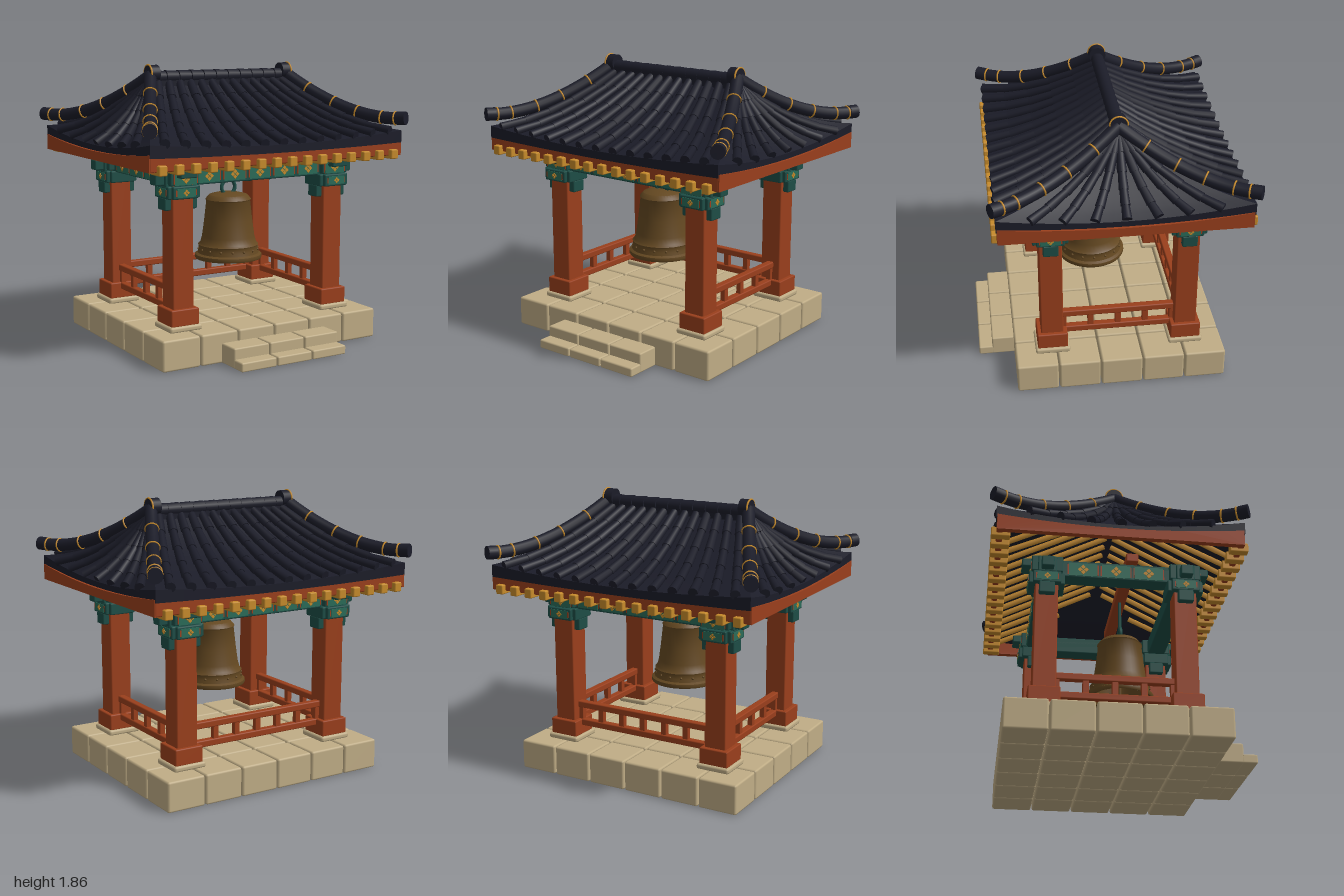
import * as THREE from 'three';
import { toCreasedNormals } from 'three/addons/utils/BufferGeometryUtils.js';
import { RoundedBoxGeometry } from 'three/addons/geometries/RoundedBoxGeometry.js';

const CZ = -0.053;               // pavilion centre in z
const PX = 0.575, PZ = 0.445;    // pillar offsets from the centre
const RX = 0.53, EX = 0.94, EZ = 0.787; // ridge half length, eave half sizes

const mat = (name, color, extra = {}) => {
  const m = new THREE.MeshStandardMaterial({ color, ...extra });
  m.name = name;
  return m;
};

export function createModel() {
  const stone = mat('stone', 0xc0ad86), red = mat('redWood', 0x9a3f1c);
  const green = mat('darkGreen', 0x1d4d46), panelGreen = mat('panelGreen', 0x2a6b58);
  const gold = mat('gold', 0xc78b2b);
  const tile = mat('roofTile', 0x1b1c28, { side: THREE.DoubleSide });
  const bronze = mat('bronze', 0x644821, { side: THREE.DoubleSide });

  const model = new THREE.Group();
  model.name = 'bellPavilion';
  const add = (name, geo, material, parent = model) => {
    const m = new THREE.Mesh(geo, material);
    m.name = name;
    parent.add(m);
    return m;
  };
  // Softly bevelled box given by its min and max corners
  const box = (name, material, x0, x1, y0, y1, z0, z1, r = 0.008) => {
    const m = add(name, new RoundedBoxGeometry(x1 - x0, y1 - y0, z1 - z0, 1, r), material);
    m.position.set((x0 + x1) / 2, (y0 + y1) / 2, (z0 + z1) / 2);
    return m;
  };
  // Tapered cylinder running from a to b
  const rod = (name, material, a, b, ra, rb, sides = 10) => {
    const d = b.clone().sub(a);
    const m = add(name, new THREE.CylinderGeometry(rb, ra, d.length(), sides), material);
    m.position.copy(a).addScaledVector(d, 0.5);
    m.quaternion.setFromUnitVectors(new THREE.Vector3(0, 1, 0), d.normalize());
    return m;
  };
  const V = (x, y, z) => new THREE.Vector3(x, y, z);

  // Paved base
  const tw = 1.64 / 6, td = 1.396 / 5, g = 0.004;
  for (let i = 0; i < 6; i++) for (let j = 0; j < 5; j++) {
    const x = -0.82 + i * tw, z = CZ - 0.698 + j * td;
    box('baseStone', stone, x + g, x + tw - g, 0, 0.2, z + g, z + td - g, 0.014);
  }
  // Front steps
  for (let i = 0; i < 3; i++) {
    const x = -0.4 + i * 0.267;
    box('upperStep', stone, x + g, x + 0.263, 0, 0.13, 0.63, 0.79, 0.01);
    box('lowerStep', stone, x + g, x + 0.263, 0, 0.06, 0.78, 0.88, 0.01);
  }

  // Painted panel with a four petal flower, facing +z
  const panel = (x, y, z, turn, w, h) => {
    const p = new THREE.Group();
    p.name = 'paintedPanel';
    p.position.set(x, y, z);
    p.rotation.y = turn;
    add('panelTrim', new THREE.BoxGeometry(w + 0.016, h - 0.016, 0.004), red, p);
    add('panelFace', new THREE.BoxGeometry(w, h, 0.008), panelGreen, p);
    const s = h * 0.25;
    for (let k = 0; k < 4; k++) {
      const petal = add('petal', new THREE.BoxGeometry(s, s, 0.004), gold, p);
      petal.position.set(Math.cos(k * Math.PI / 2) * s * 0.85, Math.sin(k * Math.PI / 2) * s * 0.85, 0.005);
      petal.rotation.z = Math.PI / 4;
    }
    model.add(p);
  };

  // Pillars with footings and bracket blocks
  for (const sx of [-1, 1]) for (const sz of [-1, 1]) {
    const x = sx * PX, z = CZ + sz * PZ;
    const block = (name, m, hx, y0, y1, hz, r) => box(name, m, x - hx, x + hx, y0, y1, z - hz, z + hz, r);
    block('pillarFooting', stone, 0.115, 0.195, 0.234, 0.115, 0.015);
    block('pillarBase', red, 0.1, 0.23, 0.34, 0.1);
    block('pillar', red, 0.074, 0.33, 1.244, 0.074);
    block('lowerBracket', green, 0.115, 0.97, 1.05, 0.05);
    block('upperBracketX', green, 0.115, 1.045, 1.125, 0.09);
    block('upperBracketZ', green, 0.09, 1.045, 1.125, 0.115);
    block('capBlock', green, 0.1, 1.13, 1.238, 0.1);
    panel(x, 1.085, z + sz * 0.116, sz > 0 ? 0 : Math.PI, 0.13, 0.055);
    panel(x + sx * 0.116, 1.085, z, sx * Math.PI / 2, 0.13, 0.055);
  }

  // Tie beams with painted panels on the outer faces
  for (const s of [-1, 1]) {
    const z = CZ + s * PZ, x = s * PX;
    box('longBeam', green, -0.69, 0.69, 1.12, 1.23, z - 0.06, z + 0.06);
    box('longBeamTip', green, -0.75, 0.75, 1.13, 1.2, z - 0.04, z + 0.04);
    box('crossBeam', green, x - 0.06, x + 0.06, 1.12, 1.23, CZ - 0.535, CZ + 0.535);
    box('crossBeamTip', green, x - 0.06, x + 0.06, 1.18, 1.235, CZ - 0.605, CZ + 0.605);
    for (let k = -3; k <= 3; k++)
      panel(k * 0.19, 1.172, z + s * (Math.abs(k) < 3 ? 0.061 : 0.101), s > 0 ? 0 : Math.PI, 0.155, 0.08);
    for (let k = -1; k <= 1; k++)
      panel(x + s * 0.061, 1.173, CZ + k * 0.213, s * Math.PI / 2, 0.185, 0.09);
  }

  // Railings at the back and both sides
  const railY = [[0.295, 0.34], [0.42, 0.465]];
  const bz = CZ - PZ;
  for (const [a, b] of railY) {
    box('backRail', red, -0.51, 0.51, a, b, bz - 0.025, bz + 0.025);
    for (const s of [-1, 1])
      box('sideRail', red, s * PX - 0.025, s * PX + 0.025, a, b, CZ - 0.38, CZ + 0.38);
  }
  for (let k = -3; k <= 3; k++)
    box('backRailPost', red, k * 0.163 - 0.02, k * 0.163 + 0.02, 0.33, 0.43, bz - 0.018, bz + 0.018, 0.004);
  for (const s of [-1, 1]) for (let k = -2; k <= 2; k++) {
    const z = CZ + k * 0.183;
    box('sideRailPost', red, s * PX - 0.018, s * PX + 0.018, 0.33, 0.43, z - 0.02, z + 0.02, 0.004);
  }

  // Bell with hanger, studs and clapper
  const bell = new THREE.Group();
  bell.name = 'bell';
  bell.position.z = 0.057;
  model.add(bell);
  const profile = [[0.19, 0.555], [0.225, 0.54], [0.23, 0.55], [0.228, 0.568], [0.21, 0.578], [0.205, 0.6],
    [0.202, 0.625], [0.206, 0.635], [0.192, 0.648], [0.18, 0.69], [0.165, 0.8], [0.15, 0.935], [0.155, 0.945],
    [0.146, 0.957], [0.13, 0.975], [0.07, 0.99], [0, 0.995]].map(p => new THREE.Vector2(...p));
  add('bellBody', toCreasedNormals(new THREE.LatheGeometry(profile, 40), 0.6), bronze, bell);
  const inner = [[0.19, 0.555], [0.17, 0.69], [0.14, 0.94], [0, 0.97]].map(p => new THREE.Vector2(...p));
  add('bellInside', new THREE.LatheGeometry(inner, 32), bronze, bell);
  for (let k = 0; k < 16; k++) {
    const a = k / 16 * Math.PI * 2;
    add('bellStud', new THREE.SphereGeometry(0.009, 8, 6), bronze, bell)
      .position.set(Math.sin(a) * 0.204, 0.605, Math.cos(a) * 0.204);
  }
  add('clapper', new THREE.SphereGeometry(0.035, 16, 12), bronze, bell).position.y = 0.543;
  add('clapperRod', new THREE.CylinderGeometry(0.01, 0.01, 0.42, 8), bronze, bell).position.y = 0.76;
  add('hangerRing', new THREE.TorusGeometry(0.052, 0.013, 8, 28), green, bell).position.y = 1.025;
  add('hangerRod', new THREE.CylinderGeometry(0.012, 0.012, 0.25, 8), green, bell).position.y = 1.185;
  box('hangerBeam', red, -0.6, 0.6, 1.28, 1.34, 0.02, 0.1);

  // Roof surfaces: u runs along the eave, t from ridge to eave
  const height = (u, t, sag) => 1.74 - 0.563 * t + 0.243 * t * t - sag * (1 - u * u) * t * t;
  const slope = s => (u, t, dy = 0) =>
    V(u * (RX + (EX - RX) * t), height(u, t, 0.045) + dy, CZ + s * EZ * t);
  const hipEnd = s => (u, t, dy = 0) =>
    V(s * (RX + (EX - RX - 0.015 * (1 - u * u)) * t), height(u, t, 0.07) + dy, CZ + u * EZ * t);

  // Eave boards, the side ones dipping in the middle
  const sideBoard = new THREE.Shape();
  sideBoard.moveTo(-0.78, 1.255);
  sideBoard.lineTo(0.78, 1.255);
  sideBoard.lineTo(0.78, 1.36);
  sideBoard.quadraticCurveTo(0, 1.268, -0.78, 1.36);
  for (const s of [-1, 1]) {
    const z = CZ + s * 0.762;
    box('frontEaveBoard', red, -0.94, 0.94, 1.255, 1.352, z - 0.02, z + 0.02);
    const m = add('sideEaveBoard', new THREE.ExtrudeGeometry(sideBoard, { depth: 0.04, bevelEnabled: false }), red);
    m.rotation.y = -Math.PI / 2;
    m.position.set(s * 0.924 + 0.02, 0, CZ);
  }
  // Rafters rising under the slopes, with square ends below the eaves
  for (let k = 0; k < 16; k++) for (const s of [-1, 1]) {
    const x = (k - 7.5) * 0.1155, z = CZ + s * 0.755;
    box('rafterEnd', gold, x - 0.028, x + 0.028, 1.235, 1.298, z - 0.06, z + 0.06);
    const t = Math.max(0.03, (Math.abs(x) - RX) / (EX - RX) + 0.08);
    const top = slope(s)(Math.min(1, Math.abs(x) / (RX + (EX - RX) * t)), t, -0.1);
    top.x = x;
    rod('rafter', gold, V(x, 1.27, CZ + s * 0.72), top, 0.02, 0.02, 4);
  }

  const roofSide = (name, P, count, step) => {
    // Curved slab: upper skin, eave edge, lower skin
    const pos = [], index = [], nu = 20, nt = 10, rows = 2 * nt + 2;
    for (let r = 0; r < rows; r++) for (let i = 0; i <= nu; i++) {
      const under = r > nt, t = (under ? rows - 1 - r : r) / nt, u = i / nu * 2 - 1;
      pos.push(...P(u, t, under ? -0.05 - 0.03 * u * u * t * t : 0).toArray());
      if (r < rows - 1 && i < nu) {
        const a = r * (nu + 1) + i, b = a + nu + 1;
        index.push(a, b, a + 1, a + 1, b, b + 1);
      }
    }
    const geo = new THREE.BufferGeometry();
    geo.setAttribute('position', new THREE.Float32BufferAttribute(pos, 3));
    // Keep the outward side in front
    const p = P(0, 0.5), du = P(0.1, 0.5).sub(p), dt = P(0, 0.6).sub(p);
    if (dt.cross(du).y < 0) index.reverse();
    geo.setIndex(index);
    add(name, toCreasedNormals(geo, 0.7), tile);
    // Overlapping round tiles in rows down the slope
    for (let k = -count; k <= count; k++) for (let j = 0; j < 5; j++)
      rod('roundTile', tile, P(k * step, j / 5, 0.012), P(k * step, (j + 1) / 5, 0.012), 0.026, 0.031);
  };
  for (const s of [-1, 1]) {
    roofSide('mainRoof', slope(s), 6, 0.149);
    roofSide('endRoof', hipEnd(s), 3, 0.247);
  }

  // Hip ridges with gold bands
  for (const sx of [-1, 1]) for (const sz of [-1, 1]) {
    const pts = [];
    for (let k = 0; k <= 10; k++) {
      const t = k / 10 * 1.02;
      pts.push(V(sx * (RX + (EX - RX) * t), height(1, t, 0) + 0.045 + 0.035 * t ** 4, CZ + sz * EZ * t));
    }
    const curve = new THREE.CatmullRomCurve3(pts);
    add('hipRidge', new THREE.TubeGeometry(curve, 24, 0.042, 12), tile);
    const tip = curve.getPoint(1), dir = curve.getTangent(1);
    rod('hipTip', tile, tip.clone().addScaledVector(dir, -0.05), tip.clone().addScaledVector(dir, 0.012), 0.045, 0.045, 16);
    for (const t of [0.2, 0.42, 0.62, 0.82, 0.93]) {
      const band = add('hipBand', new THREE.TorusGeometry(0.042, 0.006, 6, 20), gold);
      band.position.copy(curve.getPoint(t));
      band.quaternion.setFromUnitVectors(V(0, 0, 1), curve.getTangent(t));
    }
  }

  // Top ridge with end caps
  for (let k = 0; k < 11; k++) {
    const x = (k - 5.5) * 0.094;
    rod('ridgeTile', tile, V(x, 1.775, CZ), V(x + 0.09, 1.775, CZ), 0.045, 0.041, 14);
  }
  box('ridgeCore', tile, -0.53, 0.53, 1.69, 1.79, CZ - 0.035, CZ + 0.035);
  for (const s of [-1, 1]) {
    rod('ridgeCap', tile, V(s * 0.48, 1.8, CZ), V(s * 0.55, 1.8, CZ), 0.056, 0.056, 20);
    const ring = add('ridgeCapBand', new THREE.TorusGeometry(0.056, 0.006, 6, 24), gold);
    ring.position.set(s * 0.545, 1.8, CZ);
    ring.rotation.y = Math.PI / 2;
  }
  return model;
}
